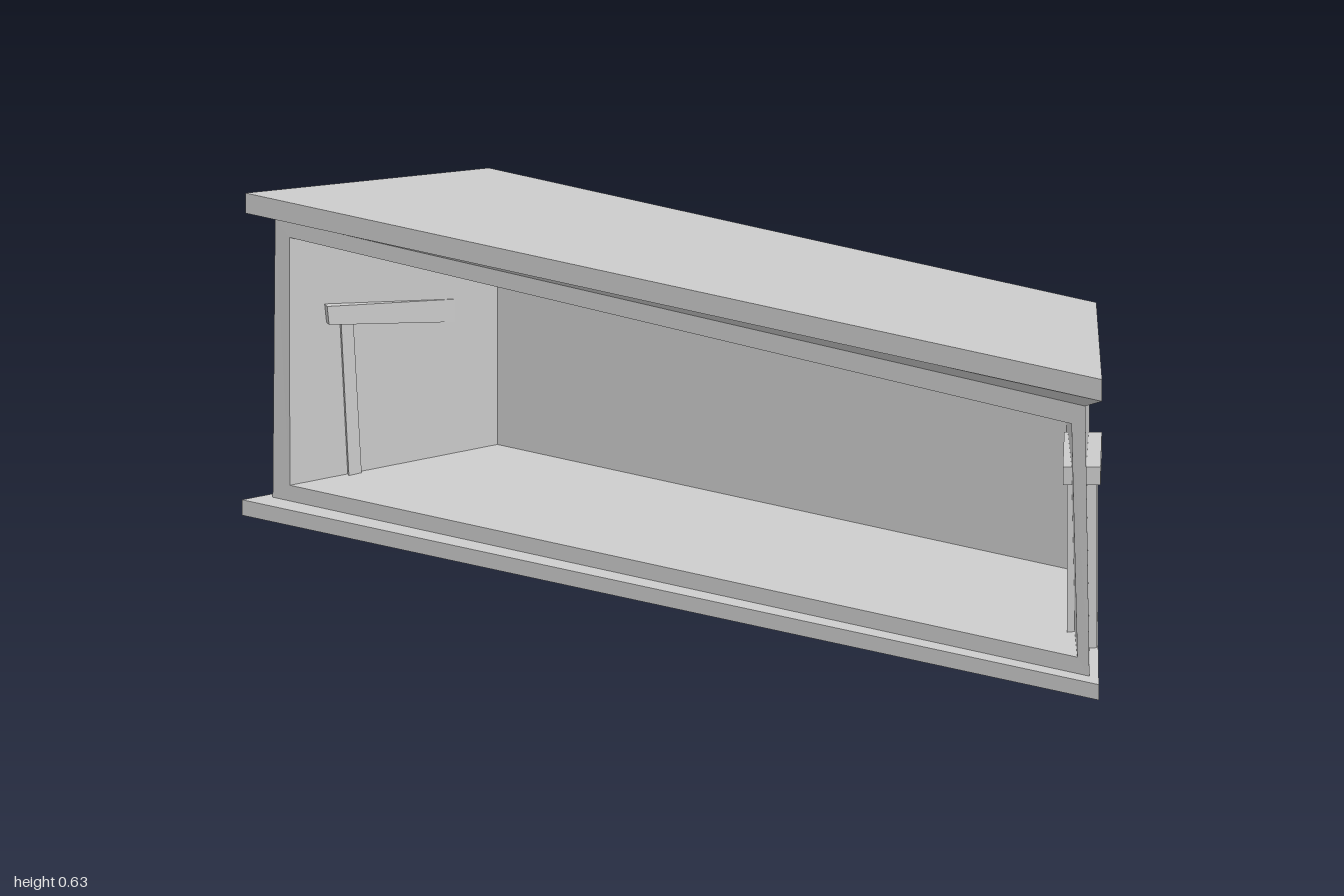
import * as THREE from 'three';

const material = new THREE.MeshStandardMaterial({ color: 0xcccccc, flatShading: true });

// Six-sided solid between two loops of four corners; faces are turned outward.
function hex(name, a, b) {
  const A = a.map(p => new THREE.Vector3(...p));
  const B = b.map(p => new THREE.Vector3(...p));
  const centre = new THREE.Vector3();
  [...A, ...B].forEach(p => centre.addScaledVector(p, 1 / 8));
  const quads = [A, B];
  for (let i = 0; i < 4; i++) {
    const j = (i + 1) % 4;
    quads.push([A[i], A[j], B[j], B[i]]);
  }
  const pos = [];
  for (const q of quads) {
    const mid = new THREE.Vector3();
    q.forEach(p => mid.addScaledVector(p, 0.25));
    const normal = q[2].clone().sub(q[0]).cross(q[3].clone().sub(q[1]));
    const r = normal.dot(mid.sub(centre)) < 0 ? [...q].reverse() : q;
    for (const k of [0, 1, 2, 0, 2, 3]) pos.push(r[k].x, r[k].y, r[k].z);
  }
  const geometry = new THREE.BufferGeometry();
  geometry.setAttribute('position', new THREE.Float32BufferAttribute(pos, 3));
  geometry.computeVertexNormals();
  const mesh = new THREE.Mesh(geometry, material);
  mesh.name = name;
  return mesh;
}

// Door frame standing through a slanted side wall: u runs along the wall
// (towards the front), n is the distance out from the wall's middle.
function doorFrame(side, cx) {
  const group = new THREE.Group();
  group.name = side > 0 ? 'leftDoorFrame' : 'rightDoorFrame';
  const at = (u, y, n) => [side * (cx + 0.74 * u + 0.8 * n), y, u - 0.6 * n];
  // outline: corners [u, y] in the wall's plane
  const part = (name, outline, inner, outer) => group.add(hex(name,
    outline.map(([u, y]) => at(u, y, inner)),
    outline.map(([u, y]) => at(u, y, outer))));
  part('frontPost', [[0.043, 0.04], [0.063, 0.04], [0.077, 0.385], [0.058, 0.385]], -0.028, 0.028);
  part('backPost', [[-0.062, 0.05], [-0.04, 0.05], [-0.045, 0.38], [-0.068, 0.38]], -0.028, 0.028);
  part('lintel', [[-0.098, 0.361], [0.097, 0.376], [0.1, 0.412], [-0.098, 0.405]], -0.035, 0.035);
  part('sill', [[-0.05, 0.05], [0.05, 0.04], [0.05, 0.08], [-0.05, 0.096]], 0, 0.016);
  return group;
}

export function createModel() {
  const model = new THREE.Group();

  // Base slab, thicker towards the back
  model.add(hex('base',
    [[-1, 0, 0.195], [0.98, 0, 0.184], [0.98, 0.03, 0.184], [-1, 0.03, 0.195]],
    [[-0.715, 0, -0.195], [0.69, 0, -0.195], [0.69, 0.082, -0.195], [-0.715, 0.082, -0.195]]));

  // Room shell: outer and inner corners, bottom left round to top left
  const outerFront = [[-0.955, 0.03, 0.16], [0.94, 0.03, 0.16], [0.932, 0.555, 0.162], [-0.948, 0.575, 0.162]];
  const outerBack = [[-0.71, 0.078, -0.17], [0.69, 0.078, -0.17], [0.69, 0.502, -0.172], [-0.71, 0.502, -0.172]];
  const innerFront = [[-0.915, 0.065, 0.16], [0.912, 0.065, 0.16], [0.9, 0.515, 0.162], [-0.915, 0.545, 0.162]];
  const innerBack = [[-0.66, 0.118, -0.14], [0.665, 0.118, -0.14], [0.66, 0.438, -0.14], [-0.66, 0.47, -0.14]];
  ['floor', 'leftWall', 'ceiling', 'rightWall'].forEach((name, i) => {
    const j = (i + 1) % 4;
    model.add(hex(name,
      [outerFront[i], outerFront[j], outerBack[j], outerBack[i]],
      [innerFront[i], innerFront[j], innerBack[j], innerBack[i]]));
  });
  model.add(hex('backWall', outerBack, innerBack));

  // Flat roof with a fascia that deepens towards the back
  const rim = [[-0.988, 0.588, 0.2], [0.998, 0.585, 0.198], [0.692, 0.504, -0.19], [-0.725, 0.504, -0.2]];
  model.add(hex('roof', rim, rim.map(([x, , z]) => [x, 0.627, z])));

  // Sloping soffit from the roof's rim in to the wall tops
  model.add(hex('soffit', rim, [outerFront[3], outerFront[2], outerBack[2], outerBack[3]]));

  // Door frames on both side walls
  model.add(doorFrame(1, 0.803), doorFrame(-1, 0.812));

  return model;
}
